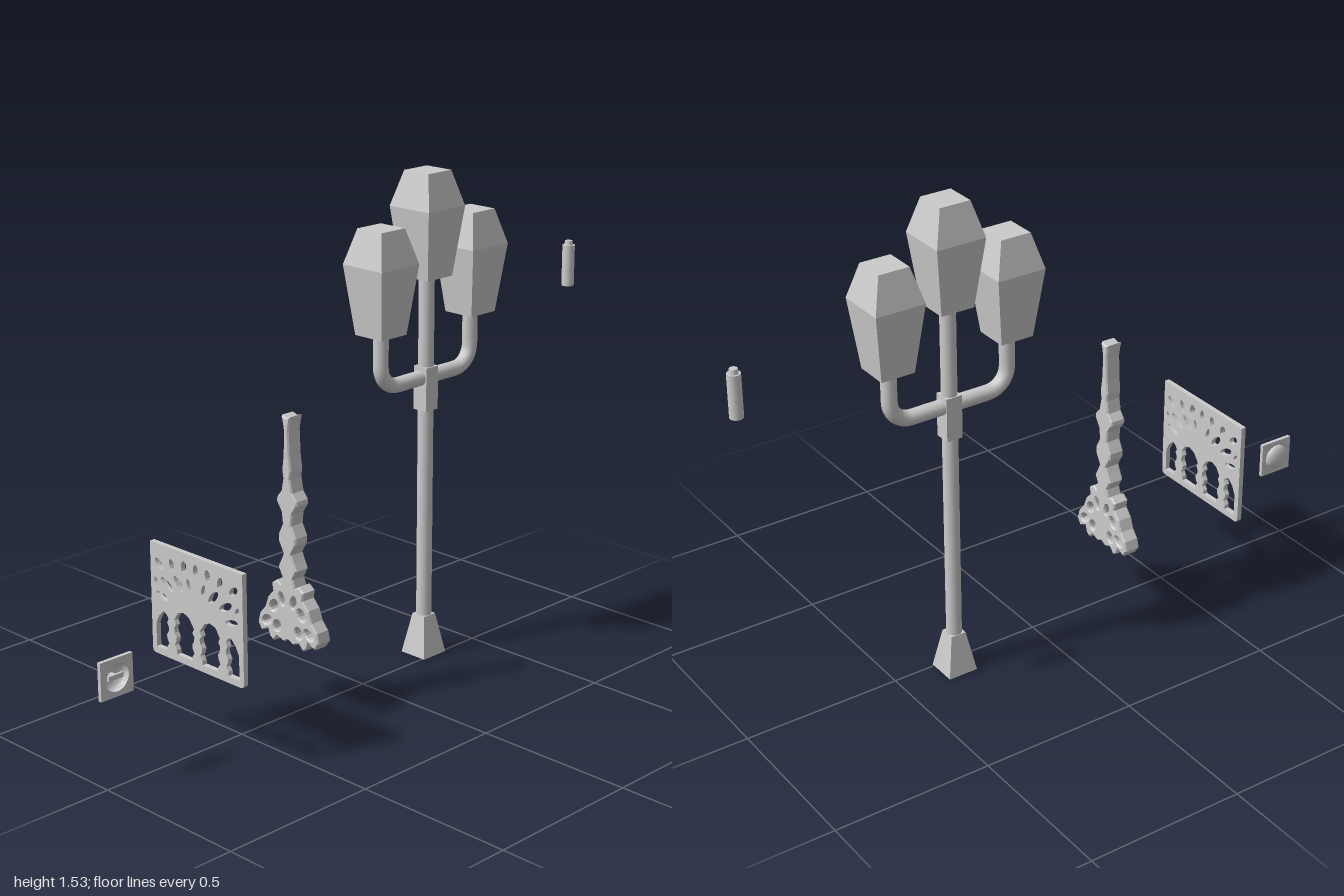
import * as THREE from 'three';

const smooth = new THREE.MeshStandardMaterial({ color: 0xcccccc });
const flat = new THREE.MeshStandardMaterial({ color: 0xcccccc, flatShading: true });
const thin = new THREE.MeshStandardMaterial({ color: 0xcccccc, side: THREE.DoubleSide });

function add(parent, name, geometry, material, x = 0, y = 0, z = 0) {
  const mesh = new THREE.Mesh(geometry, material);
  mesh.name = name;
  mesh.position.set(x, y, z);
  parent.add(mesh);
  return mesh;
}

// Square tapered block standing on y = 0
function taper(bottom, top, height) {
  const k = Math.SQRT1_2;
  return new THREE.CylinderGeometry(top * k, bottom * k, height, 4)
    .rotateY(Math.PI / 4).translate(0, height / 2, 0);
}

const v2 = (list) => list.map(([x, y]) => new THREE.Vector2(x, y));

function ellipseHole(x, y, rx, ry, degrees = 0) {
  const path = new THREE.Path();
  path.absellipse(x, y, rx, ry, 0, Math.PI * 2, false, degrees * Math.PI / 180);
  return path;
}

// Three-headed street lamp
function streetLamp() {
  const lamp = new THREE.Group();
  lamp.name = 'streetLamp';
  lamp.position.set(-0.04, 0, -0.314);
  add(lamp, 'lampFoot', taper(0.097, 0.05, 0.13), flat);
  add(lamp, 'lampPole', new THREE.CylinderGeometry(0.024, 0.024, 1.1, 16), smooth, 0, 0.67, 0);
  add(lamp, 'lampCollar', new THREE.BoxGeometry(0.052, 0.137, 0.052), flat, 0, 0.868, 0);

  const lantern = (name, y, z) => {
    const head = new THREE.Group();
    head.name = name;
    head.position.set(0, y, z);
    add(head, 'lanternBody', taper(0.107, 0.158, 0.213), flat);
    add(head, 'lanternRoof', taper(0.158, 0.098, 0.107), flat, 0, 0.213, 0);
    lamp.add(head);
  };
  lantern('middleLantern', 1.215, 0);

  for (const s of [1, -1]) {
    // Arm runs outward, then bends up through a quarter circle
    const reach = 0.197, bend = 0.068, y = 0.902;
    const points = [new THREE.Vector3(0, y, 0), new THREE.Vector3(0, y, s * 0.07)];
    for (let i = 0; i <= 6; i++) {
      const a = (i / 6) * Math.PI / 2;
      points.push(new THREE.Vector3(0, y + bend * (1 - Math.cos(a)), s * (reach - bend + bend * Math.sin(a))));
    }
    points.push(new THREE.Vector3(0, 1.03, s * reach), new THREE.Vector3(0, 1.08, s * reach));
    const curve = new THREE.CatmullRomCurve3(points, false, 'centripetal');
    add(lamp, s > 0 ? 'frontArm' : 'backArm', new THREE.TubeGeometry(curve, 40, 0.0235, 14), smooth);
    lantern(s > 0 ? 'frontLantern' : 'backLantern', 1.07, s * reach);
  }
  return lamp;
}

// Pierced railing panel with balusters below and a fan of petals above
function railingPanel() {
  const shape = new THREE.Shape();
  const w = 0.192, top = 0.59, low = 0.252, r = 0.015;
  shape.moveTo(-w, top).lineTo(-w, low + r).quadraticCurveTo(-w, low, -w + r, low);
  shape.lineTo(w - r, low).quadraticCurveTo(w, low, w, low + r).lineTo(w, top);

  const halfWidths = [0.022, 0.021, 0.012, 0.019, 0.021, 0.013, 0.011, 0.019, 0.012, 0.02];
  const edge = (cx, side, height) => halfWidths.map((h, i) =>
    [cx + side * h, 0.273 + height * i / (halfWidths.length - 1)]);
  const petals = [
    [0.145, 0.435, 0.026, 0.009, 15], [0.122, 0.475, 0.03, 0.011, 30], [0.072, 0.49, 0.028, 0.011, 45],
    [0.155, 0.53, 0.02, 0.011, 40], [0.1, 0.54, 0.018, 0.01, 70], [0.05, 0.547, 0.018, 0.011, 100],
    [0.169, 0.475, 0.012, 0.007, 60], [0.03, 0.5, 0.018, 0.007, 70],
  ];
  for (const s of [1, -1]) {
    const mirror = (list) => new THREE.Path(v2(list.map(([x, y]) => [s * x, y])));
    const inner = [...edge(0, 1, 0.11), [0.033, 0.4], [0.055, 0.408], [0.078, 0.402], ...edge(0.108, -1, 0.115).reverse()];
    const outer = [...edge(0.108, 1, 0.11), [0.14, 0.39], [0.16, 0.372], [0.174, 0.345], [0.174, 0.273]];
    shape.holes.push(mirror(inner), mirror(outer));
    for (const [x, y, a, b, deg] of petals) shape.holes.push(ellipseHole(s * x, y, a, b, s * deg));
  }
  shape.holes.push(ellipseHole(0, 0.55, 0.01, 0.017));
  const geometry = new THREE.ExtrudeGeometry(shape, { depth: 0.016, bevelEnabled: false, curveSegments: 6 });
  const group = new THREE.Group();
  add(group, 'railingPanel', geometry, flat, -0.002, 0, 0.645);
  return group;
}

// Flat scrollwork finial: lobed foot and a bulging spire
function finial() {
  const half = [
    [0, 0.232], [0.02, 0.222], [0.045, 0.232], [0.062, 0.213], [0.078, 0.224], [0.085, 0.245],
    [0.112, 0.232], [0.128, 0.255], [0.12, 0.285], [0.098, 0.31], [0.085, 0.345], [0.062, 0.37],
    [0.066, 0.395], [0.045, 0.41], [0.03, 0.4], [0.022, 0.425], [0.038, 0.455], [0.026, 0.478],
    [0.016, 0.5], [0.036, 0.535], [0.036, 0.555], [0.018, 0.59], [0.022, 0.625], [0.042, 0.655],
    [0.04, 0.668], [0.022, 0.69], [0.014, 0.73], [0.018, 0.755], [0.012, 0.8], [0.009, 0.87],
    [0.013, 0.895], [0.018, 0.918], [0, 0.912],
  ];
  const left = half.slice(1, -1).reverse().map(([x, y]) => [-x, y]);
  const shape = new THREE.Shape(v2([...half, ...left]));
  for (const s of [1, -1]) {
    shape.holes.push(ellipseHole(s * 0.088, 0.272, 0.02, 0.013, s * -30));
    shape.holes.push(ellipseHole(s * 0.045, 0.265, 0.014, 0.018, s * 20));
    shape.holes.push(ellipseHole(s * 0.058, 0.325, 0.014, 0.02, s * 35));
    shape.holes.push(ellipseHole(s * 0.024, 0.355, 0.01, 0.02, s * -15));
  }
  const geometry = new THREE.ExtrudeGeometry(shape, {
    depth: 0.042, curveSegments: 6, bevelThickness: 0.005, bevelSize: 0.004, bevelOffset: -0.004, bevelSegments: 1,
  });
  const group = new THREE.Group();
  add(group, 'scrollFinial', geometry, flat, -0.01, 0, 0.257);
  return group;
}

// Square flush-pull plate facing +x, with a round bowl behind it
function flushPull() {
  const pull = new THREE.Group();
  pull.name = 'flushPull';
  pull.position.set(-0.024, 0.315, 0.943);
  const h = 0.057;
  const shape = new THREE.Shape(v2([[-h, -h], [h, -h], [h, h], [-h, h]]));
  shape.holes.push(ellipseHole(0, 0, 0.042, 0.042));
  const plate = new THREE.ExtrudeGeometry(shape, { depth: 0.012, bevelEnabled: false, curveSegments: 16 });
  add(pull, 'pullPlate', plate.rotateY(Math.PI / 2), flat);
  const bowl = new THREE.SphereGeometry(0.042, 24, 8, 0, Math.PI * 2, 0, Math.PI / 2);
  add(pull, 'pullBowl', bowl.scale(1, 0.48, 1).rotateZ(Math.PI / 2), thin);
  add(pull, 'pullBar', new THREE.BoxGeometry(0.008, 0.014, 0.052), flat, 0.005, 0, 0);
  add(pull, 'pullStem', new THREE.BoxGeometry(0.02, 0.008, 0.014), flat, -0.008, 0, 0);
  return pull;
}

// Small capped cylinder cell
function cell() {
  const group = new THREE.Group();
  group.name = 'cell';
  group.position.set(-0.04, 1.07, -0.98);
  add(group, 'cellBody', new THREE.CylinderGeometry(0.02, 0.02, 0.132, 16), smooth, 0, 0.066, 0);
  add(group, 'cellCap', new THREE.CylinderGeometry(0.012, 0.014, 0.014, 16), smooth, 0, 0.139, 0);
  return group;
}

export function createModel() {
  const model = new THREE.Group();
  model.name = 'streetFurniture';
  model.add(streetLamp(), railingPanel(), finial(), flushPull(), cell());
  return model;
}
